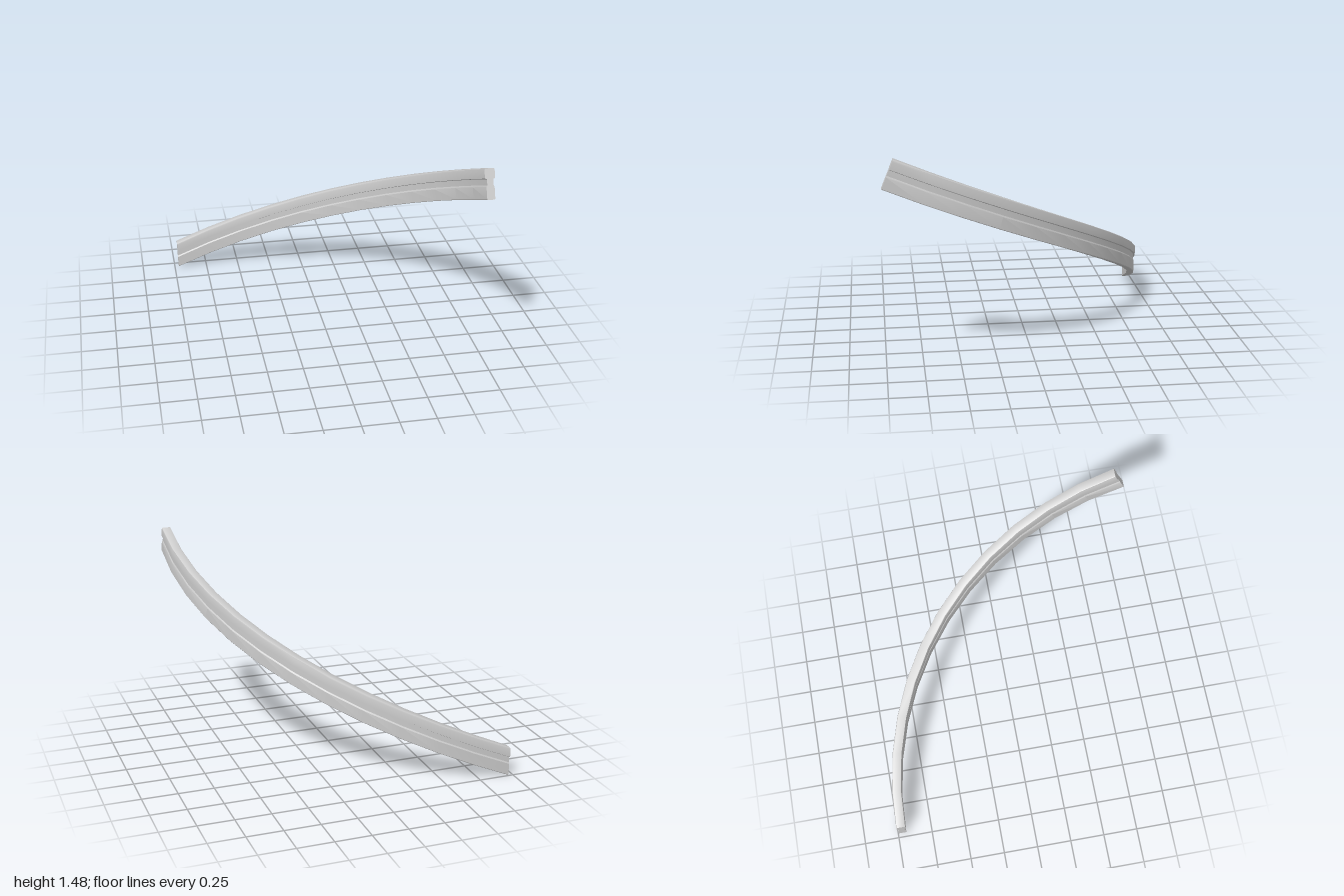
import * as THREE from 'three';
import { toCreasedNormals } from 'three/addons/utils/BufferGeometryUtils.js';

// Right half of the rail section, bottom to top: [half width, height above the path]
const HALF = [
  [0.024, -0.152], [0.027, -0.148], [0.027, -0.068], [0.021, -0.058],
  [0.021, -0.018], [0.034, -0.013], [0.034, 0.040], [0.031, 0.049], [0.025, 0.052],
];
const SECTION = [...HALF, ...HALF.slice().reverse().map(([w, h]) => [-w, h])];

const SEGMENTS = 12, RADIUS = 1.91;
const CENTRE_X = -0.972, CENTRE_Z = 0.944;
const START_Y = 0.153, RISE = 1.277;

// Section ring on the quarter-turn helix, leaning back gradually as it climbs
function ring(i) {
  const t = i / SEGMENTS, a = t * Math.PI / 2;
  const tilt = THREE.MathUtils.lerp(0.025, 0.39, t);
  return SECTION.map(([w, h]) => {
    const r = RADIUS + w, back = -h * Math.sin(tilt);
    return new THREE.Vector3(
      CENTRE_X + r * Math.sin(a) + back * Math.cos(a),
      START_Y + RISE * t + h * Math.cos(tilt),
      CENTRE_Z - r * Math.cos(a) + back * Math.sin(a));
  });
}

function railGeometry() {
  const rings = Array.from({ length: SEGMENTS + 1 }, (_, i) => ring(i));
  const points = [], n = SECTION.length;
  // long sides
  for (let i = 0; i < SEGMENTS; i++) {
    for (let j = 0; j < n; j++) {
      const k = (j + 1) % n, p = rings[i], q = rings[i + 1];
      points.push(p[j], p[k], q[k], p[j], q[k], q[j]);
    }
  }
  // end caps
  const outline = SECTION.map(([x, y]) => new THREE.Vector2(x, y));
  const first = rings[0], last = rings[SEGMENTS];
  for (const [a, b, c] of THREE.ShapeUtils.triangulateShape(outline, [])) {
    points.push(last[a], last[b], last[c], first[a], first[c], first[b]);
  }
  return toCreasedNormals(new THREE.BufferGeometry().setFromPoints(points), 0.5);
}

export function createModel() {
  const group = new THREE.Group();
  group.name = 'curvedHandrail';
  const rail = new THREE.Mesh(railGeometry(), new THREE.MeshStandardMaterial({ color: 0xcccccc }));
  rail.name = 'rail';
  group.add(rail);
  return group;
}
